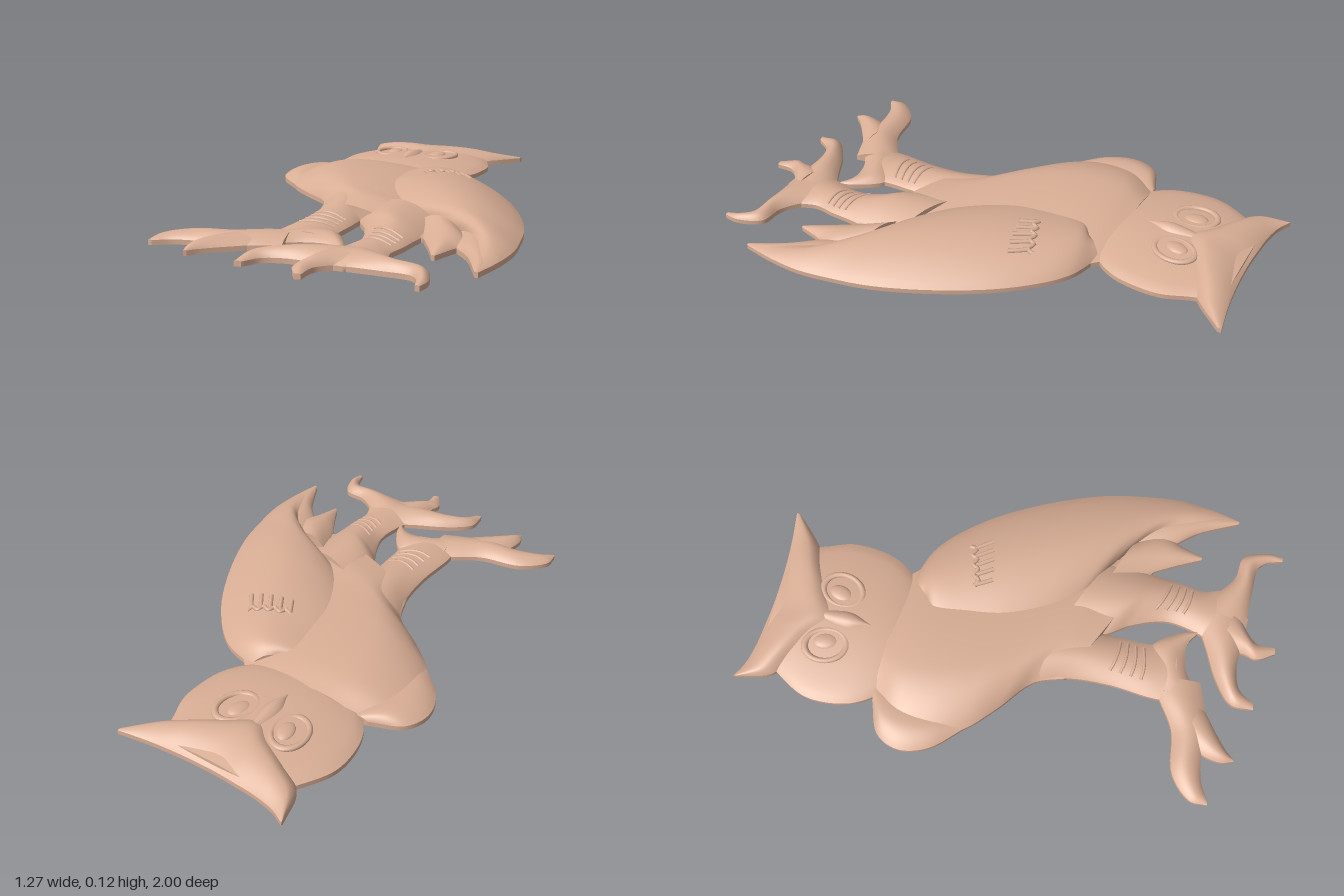
import * as THREE from 'three';

const RIM = 0.018;
const clay = new THREE.MeshStandardMaterial({ color: 0xd9ae95 });
clay.name = 'clay';

const spline = (pts) => new THREE.CatmullRomCurve3(pts, false, 'centripetal');

// Domed slab lofted between two edges. Each row: [x1, z1, x2, z2, crestHeight].
// ridge is where the crest lies between the edges, 0 to 1.
function relief(group, name, rows, { ridge = 0.5, power = 0.85, nt = 48, ns = 28 } = {}) {
  let area = 0;
  for (let i = 1; i < rows.length; i++) {
    const [a, b, c, d] = rows[i - 1], [e, f, g, h] = rows[i];
    const tx = (e + g - a - c) / 2, tz = (f + h - b - d) / 2;
    area += tz * (c + g - a - e) - tx * (d + h - b - f);
  }
  if (area < 0) {
    rows = rows.map(([a, b, c, d, h]) => [c, d, a, b, h]);
    ridge = 1 - ridge;
  }
  const left = spline(rows.map((r) => new THREE.Vector3(r[0], r[4], r[1])));
  const right = spline(rows.map((r) => new THREE.Vector3(r[2], r[4], r[3])));
  const surface = (s, t) => {
    const p = left.getPoint(t).lerp(right.getPoint(t), s);
    const u = Math.max(0, s < ridge ? s / ridge : (1 - s) / (1 - ridge));
    p.y = RIM + Math.max(0, p.y - RIM) * Math.pow(Math.sin((u * Math.PI) / 2), power);
    return p;
  };

  const pos = [], idx = [], w = ns + 1, count = w * (nt + 1);
  for (let i = 0; i <= nt; i++)
    for (let j = 0; j <= ns; j++) pos.push(...surface(j / ns, i / nt).toArray());
  for (let k = 0; k < count; k++) pos.push(pos[3 * k], 0, pos[3 * k + 2]);
  for (let i = 0; i < nt; i++)
    for (let j = 0; j < ns; j++) {
      const a = i * w + j, b = a + 1, c = a + w, d = c + 1;
      idx.push(a, c, b, b, c, d);
      idx.push(a + count, b + count, c + count, b + count, d + count, c + count);
    }
  // Upright rim around the slab
  const loop = [];
  for (let i = 0; i < nt; i++) loop.push(i * w);
  for (let j = 0; j < ns; j++) loop.push(nt * w + j);
  for (let i = nt; i > 0; i--) loop.push(i * w + ns);
  for (let j = ns; j > 0; j--) loop.push(j);
  const base = pos.length / 3;
  for (const k of loop) pos.push(pos[3 * k], pos[3 * k + 1], pos[3 * k + 2], pos[3 * k], 0, pos[3 * k + 2]);
  loop.forEach((_, k) => {
    const a = base + 2 * k, b = base + 2 * ((k + 1) % loop.length);
    idx.push(a, a + 1, b, b, a + 1, b + 1);
  });

  const geo = new THREE.BufferGeometry();
  geo.setAttribute('position', new THREE.Float32BufferAttribute(pos, 3));
  geo.setIndex(idx);
  geo.computeVertexNormals();
  add(group, name, geo);
  return surface;
}

function add(group, name, geo) {
  const mesh = new THREE.Mesh(geo, clay);
  mesh.name = name;
  group.add(mesh);
  return mesh;
}

// Thin raised cord along points lying on a surface
function cord(group, name, pts, radius) {
  add(group, name, new THREE.TubeGeometry(spline(pts), 24, radius, 8));
}

export function createModel() {
  const g = new THREE.Group();
  g.name = 'owlRelief';

  // Head
  relief(g, 'face', [
    [-0.4, -0.93, 0.06, -0.93, 0.04], [-0.47, -0.83, 0.08, -0.83, 0.06],
    [-0.525, -0.72, 0.12, -0.72, 0.066], [-0.53, -0.62, 0.122, -0.62, 0.068],
    [-0.505, -0.52, 0.1, -0.52, 0.066], [-0.44, -0.43, 0.035, -0.43, 0.055],
    [-0.33, -0.37, -0.08, -0.37, 0.03],
  ], { power: 0.65 });
  relief(g, 'browAndEarTufts', [
    [-0.518, -1.0, -0.515, -0.985, 0.02], [-0.46, -0.972, -0.475, -0.86, 0.045],
    [-0.38, -0.955, -0.38, -0.79, 0.066], [-0.28, -0.947, -0.28, -0.72, 0.077],
    [-0.2, -0.943, -0.205, -0.65, 0.081], [-0.1, -0.944, -0.12, -0.71, 0.077],
    [0, -0.95, -0.02, -0.78, 0.066], [0.09, -0.96, 0.08, -0.845, 0.045],
    [0.195, -0.977, 0.192, -0.96, 0.02],
  ], { ridge: 0.6 });
  relief(g, 'beak', [
    [-0.24, -0.74, -0.17, -0.74, 0.07], [-0.255, -0.62, -0.155, -0.62, 0.083],
    [-0.21, -0.53, -0.2, -0.53, 0.066],
  ], { power: 0.5, nt: 20, ns: 14 });
  for (const side of [-1, 1]) {
    const eye = new THREE.Group();
    eye.name = side < 0 ? 'rightEye' : 'leftEye';
    eye.position.set(-0.207 + side * 0.115, 0.058, -0.685);
    eye.rotation.y = side * -0.25;
    add(eye, 'eyeRing', new THREE.TorusGeometry(0.07, 0.012, 10, 36).rotateX(Math.PI / 2).scale(0.9, 0.8, 1.15));
    add(eye, 'eyeball', new THREE.SphereGeometry(0.04, 20, 12).scale(0.8, 0.35, 1.2)).position.x = -side * 0.015;
    g.add(eye);
  }

  // Body and wings
  relief(g, 'body', [
    [-0.45, -0.46, 0.05, -0.46, 0.06], [-0.55, -0.35, 0.12, -0.38, 0.085],
    [-0.56, -0.22, 0.2, -0.2, 0.096], [-0.5, -0.09, 0.25, 0, 0.095],
    [-0.39, 0.015, 0.3, 0.2, 0.088], [-0.26, 0.12, 0.32, 0.35, 0.082],
    [-0.21, 0.24, 0.3, 0.47, 0.065],
  ], { ridge: 0.33 });
  relief(g, 'rightWing', [
    [-0.48, -0.455, -0.4, -0.46, 0.03], [-0.6, -0.4, -0.4, -0.4, 0.048],
    [-0.637, -0.31, -0.4, -0.3, 0.052], [-0.605, -0.2, -0.4, -0.2, 0.046],
    [-0.49, -0.08, -0.4, -0.1, 0.025],
  ], { ridge: 0.4, nt: 28, ns: 18 });
  const wing = relief(g, 'leftWing', [
    [-0.06, -0.34, 0.04, -0.44, 0.055], [-0.17, -0.3, 0.19, -0.385, 0.085],
    [-0.2, -0.2, 0.345, -0.235, 0.1], [-0.185, -0.08, 0.48, -0.02, 0.113],
    [-0.1, 0.055, 0.58, 0.215, 0.113], [0.03, 0.18, 0.615, 0.37, 0.1],
    [0.24, 0.28, 0.633, 0.5, 0.08], [0.42, 0.4, 0.628, 0.61, 0.055],
    [0.5, 0.58, 0.618, 0.68, 0.035], [0.592, 0.76, 0.602, 0.76, 0.02],
  ], { ridge: 0.55, nt: 64 });
  relief(g, 'innerFeather', [
    [0.2, 0.3, 0.42, 0.38, 0.07], [0.29, 0.45, 0.47, 0.48, 0.055],
    [0.355, 0.56, 0.44, 0.55, 0.04], [0.4, 0.645, 0.412, 0.645, 0.02],
  ]);
  relief(g, 'outerFeather', [
    [0.36, 0.35, 0.58, 0.45, 0.05], [0.42, 0.5, 0.6, 0.55, 0.045],
    [0.51, 0.61, 0.61, 0.68, 0.035], [0.59, 0.76, 0.602, 0.76, 0.02],
  ]);

  // Scalloped feather fringe on the wing
  const fringe = [];
  for (let i = 0; i <= 8; i++) fringe.push(wing(0.42 + i * 0.043, 0.24 + (i % 2) * 0.012 - i * 0.004));
  cord(g, 'wingFringe', fringe, 0.009);
  for (let i = 0; i < 5; i++) {
    const s = 0.43 + i * 0.075;
    cord(g, 'fringeFeather', [0, 0.02, 0.04].map((d) => wing(s + d * 0.4, 0.245 + d - i * 0.006)), 0.009);
  }

  // Legs with wrinkles
  const rightLeg = relief(g, 'rightLeg', [
    [-0.26, 0.1, 0, 0.2, 0.075], [-0.21, 0.24, 0, 0.335, 0.066], [-0.195, 0.4, 0.002, 0.42, 0.055],
    [-0.205, 0.57, 0.005, 0.53, 0.048], [-0.2, 0.66, 0.04, 0.62, 0.045],
  ]);
  const leftLeg = relief(g, 'leftLeg', [
    [-0.05, 0.15, 0.3, 0.3, 0.082], [0, 0.34, 0.29, 0.47, 0.08], [0.06, 0.43, 0.285, 0.52, 0.068],
    [0.11, 0.56, 0.28, 0.6, 0.05], [0.1, 0.665, 0.27, 0.68, 0.048], [0.07, 0.76, 0.29, 0.74, 0.048],
  ]);
  for (const [leg, start] of [[rightLeg, 0.48], [leftLeg, 0.5]])
    for (let i = 0; i < 4; i++) {
      const t = start + i * 0.065;
      cord(g, 'legWrinkle', [0.25, 0.45, 0.65, 0.88].map((s, k) => leg(s, t + (k % 3 ? 0.012 : 0))), 0.006);
    }

  // Toes, each tapering to a claw
  const toes = {
    rightFootOuterToe: [
      [-0.13, 0.56, -0.1, 0.74, 0.045], [-0.2, 0.6, -0.19, 0.775, 0.05], [-0.31, 0.67, -0.27, 0.8, 0.05],
      [-0.47, 0.705, -0.39, 0.8, 0.045], [-0.555, 0.79, -0.48, 0.82, 0.035], [-0.555, 0.855, -0.54, 0.855, 0.02]],
    rightFootMiddleToe: [
      [-0.34, 0.72, -0.18, 0.76, 0.05], [-0.38, 0.82, -0.29, 0.845, 0.045],
      [-0.385, 0.88, -0.335, 0.885, 0.035], [-0.37, 0.92, -0.36, 0.915, 0.02]],
    rightFootInnerToe: [
      [-0.17, 0.57, -0.17, 0.765, 0.045], [-0.08, 0.55, -0.08, 0.685, 0.048], [0, 0.53, 0, 0.66, 0.045],
      [0.08, 0.63, 0.05, 0.665, 0.03], [0.1, 0.69, 0.09, 0.69, 0.02]],
    leftFootInnerToe: [
      [0.17, 0.66, 0.2, 0.87, 0.05], [0.05, 0.73, 0.08, 0.865, 0.055], [-0.075, 0.795, -0.02, 0.865, 0.05],
      [-0.157, 0.87, -0.09, 0.89, 0.04], [-0.155, 0.955, -0.13, 0.95, 0.02]],
    leftFootMiddleToe: [
      [0.05, 0.78, 0.24, 0.82, 0.055], [0.055, 0.88, 0.15, 0.875, 0.048],
      [0.045, 0.93, 0.11, 0.92, 0.035], [0.085, 0.997, 0.108, 0.993, 0.02]],
    leftFootOuterToe: [
      [0.2, 0.66, 0.15, 0.87, 0.05], [0.28, 0.735, 0.24, 0.865, 0.053], [0.36, 0.79, 0.33, 0.865, 0.05],
      [0.45, 0.805, 0.42, 0.87, 0.042], [0.493, 0.9, 0.452, 0.9, 0.032], [0.488, 0.957, 0.472, 0.957, 0.02]],
  };
  for (const [name, rows] of Object.entries(toes)) relief(g, name, rows, { nt: 28, ns: 16 });

  return g;
}
